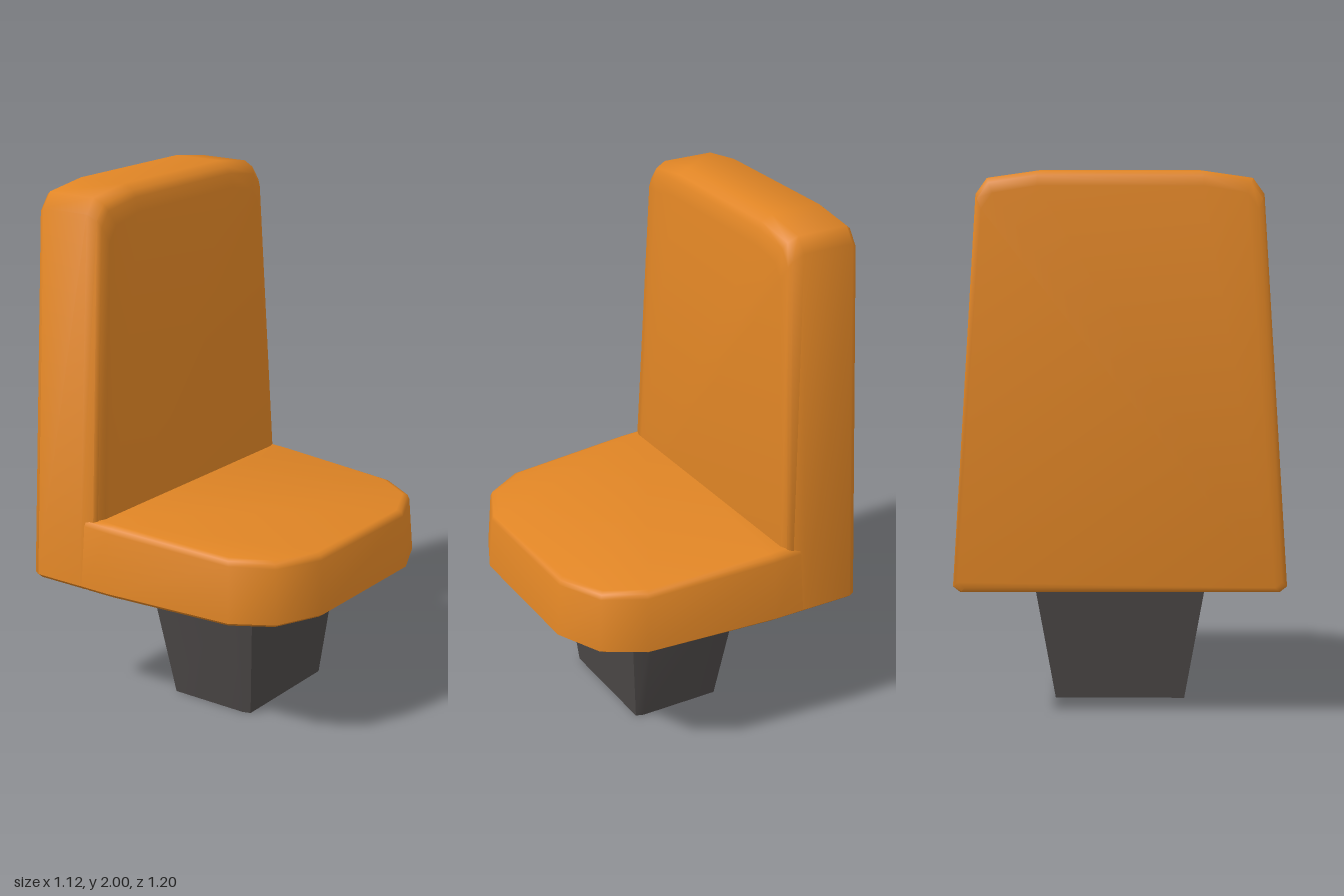
import * as THREE from 'three';
import { toCreasedNormals } from 'three/addons/utils/BufferGeometryUtils.js';

// Skin a list of equal-length rings (outward winding chosen by signed volume), optionally capped
function loft(rings, capped = true) {
  const n = rings[0].length;
  const pts = rings.flat();
  const tris = [];
  for (let r = 0; r < rings.length - 1; r++) {
    for (let i = 0; i < n; i++) {
      const a = r * n + i, b = r * n + (i + 1) % n;
      tris.push([a, b, b + n], [a, b + n, a + n]);
    }
  }
  const last = (rings.length - 1) * n;
  const caps = [];
  for (let i = 1; i < n - 1; i++) caps.push([0, i + 1, i], [last, last + i, last + i + 1]);

  const volume = [...tris, ...caps].reduce(
    (sum, [a, b, c]) => sum + pts[a].dot(pts[b].clone().cross(pts[c])), 0);
  const faces = capped ? [...tris, ...caps] : tris;
  const index = faces.flatMap(([a, b, c]) => (volume > 0 ? [a, b, c] : [a, c, b]));

  const geometry = new THREE.BufferGeometry().setFromPoints(pts);
  geometry.setIndex(index);
  return toCreasedNormals(geometry, 0.95);
}

// Close a half outline [u, v] by mirroring it in v
const mirrored = (half) => [...half, ...half.map(([u, v]) => [u, -v]).reverse()];

export function createModel() {
  const orange = new THREE.MeshStandardMaterial({ color: 0xe08525 });
  orange.name = 'orange upholstery';
  const grey = new THREE.MeshStandardMaterial({ color: 0x4c4847, side: THREE.DoubleSide });
  grey.name = 'dark grey post';

  const model = new THREE.Group();
  model.name = 'seat';
  const add = (name, geometry, material) => {
    const mesh = new THREE.Mesh(geometry, material);
    mesh.name = name;
    model.add(mesh);
  };

  // Cushion: tapered outline with a rounded front, top sloping down to the front
  const outline = mirrored([[-0.32, 0.6], [-0.2, 0.6], [0.33, 0.56], [0.48, 0.47], [0.56, 0.29]]);
  const topY = (x) => 0.75 + (0.5 - x) * 0.045;
  const cushionLevels = [[0, 0.025], [0.07, 0], [0.9, 0.015], [0.97, 0.022], [1, 0.04]];
  add('cushion', loft(cushionLevels.map(([h, inset]) => outline.map(([x, z]) => {
    const k = 1 - inset / 0.6;
    return new THREE.Vector3(x * k, 0.5 + h * (topY(x) - 0.5), z * k);
  }))), orange);

  // Backrest: slices from rear to front as [x, side inset, top inset, bottom inset]
  const slices = [
    [-0.56, 0.02, 0.05, 0.02], [-0.553, 0.006, 0.015, 0.006], [-0.535, 0, 0, 0],
    [-0.33, 0, 0, 0], [-0.29, 0.006, 0.02, 0], [-0.276, 0.016, 0.045, 0], [-0.265, 0.045, 0.1, 0],
  ];
  add('backrest', loft(slices.map(([x, s, t, b]) => mirrored([
    [0.5 + b, 0.575 - s], [0.52 + b, 0.6 - s], [1.92 - t, 0.505 - s],
    [1.975 - t, 0.465 - s], [2 - t, 0.29],
  ]).map(([y, z]) => new THREE.Vector3(x > -0.3 ? x + (2 - y) * 0.012 : x, y, z)))), orange);

  // Post: hollow, widening upward, with narrow chamfers on the seat-front corners
  const postTop = mirrored([[-0.21, 0.33], [0.17, 0.33], [0.25, 0.295]]);
  const postBase = mirrored([[-0.15, 0.245], [0.17, 0.245], [0.2, 0.235]]);
  const ring = (points, y) => points.map(([x, z]) => new THREE.Vector3(x, y, z));
  add('post', loft([ring(postBase, 0), ring(postTop, 0.505)], false), grey);

  return model;
}
